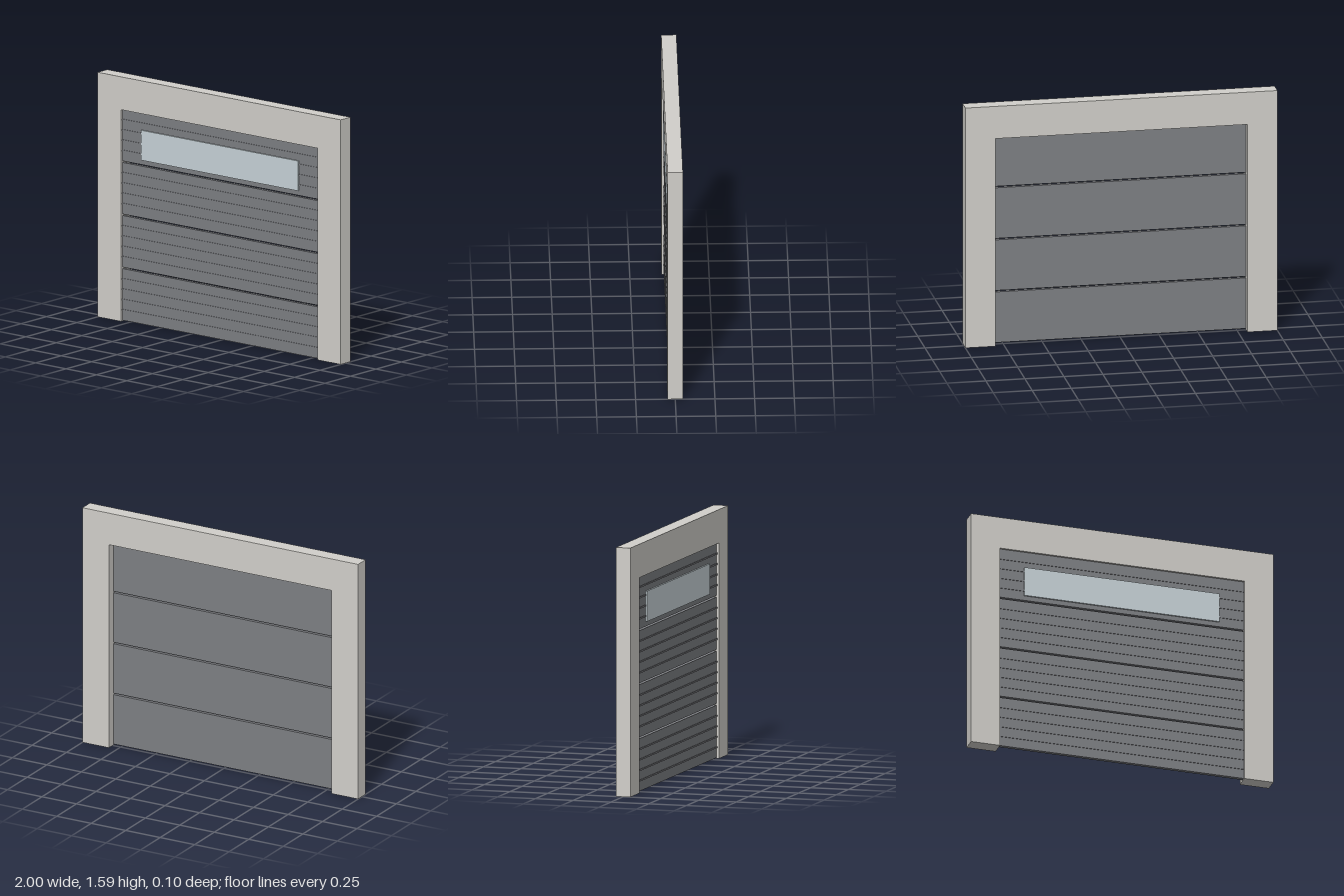
import * as THREE from 'three';

const FRAME = new THREE.MeshStandardMaterial({ color: 0xd1cfca });
const DOOR = new THREE.MeshStandardMaterial({ color: 0x7d7f83 });
const GLASS = new THREE.MeshStandardMaterial({ color: 0xc8d3d8 });

function box(name, material, w, h, d, x, y, z) {
  const mesh = new THREE.Mesh(new THREE.BoxGeometry(w, h, d), material);
  mesh.name = name;
  mesh.position.set(x, y, z);
  return mesh;
}

export function createModel() {
  const group = new THREE.Group();
  group.name = 'garageDoor';

  const height = 1.585, depth = 0.096, half = 0.808, openTop = 1.372;

  // Surround: one upside-down U, extruded through the wall depth
  const outline = new THREE.Shape([
    [-1, 0], [-half, 0], [-half, openTop], [half, openTop],
    [half, 0], [1, 0], [1, height], [-1, height],
  ].map(([x, y]) => new THREE.Vector2(x, y)));
  const surround = new THREE.Mesh(
    new THREE.ExtrudeGeometry(outline, { depth, bevelEnabled: false }), FRAME);
  surround.name = 'surround';
  surround.position.z = -depth / 2;
  group.add(surround);

  // Four sectional panels with open gaps between them
  const count = 4, gap = 0.01, bottom = 0.006;
  const pitch = (openTop - bottom + gap) / count;
  const panelHeight = pitch - gap;
  const back = 0.01, front = 0.034;
  const door = new THREE.Group();
  door.name = 'door';
  group.add(door);

  for (let i = 0; i < count; i++) {
    const y0 = bottom + i * pitch;
    const panel = new THREE.Group();
    panel.name = `panel${i + 1}`;
    panel.add(box('panelSlab', DOOR, half * 2, panelHeight, front - back,
      0, y0 + panelHeight / 2, (front + back) / 2));

    // Four slim horizontal ribs on the front of each panel
    for (let r = 1; r <= 4; r++) {
      panel.add(box('rib', DOOR, half * 2, 0.01, 0.006,
        0, y0 + panelHeight * r / 5, front + 0.001));
    }
    door.add(panel);
  }

  // Long window on the top panel, standing just proud of the ribs
  group.add(box('window', GLASS, 1.29, 0.194, 0.014, 0, 1.166, front + 0.003));

  return group;
}
